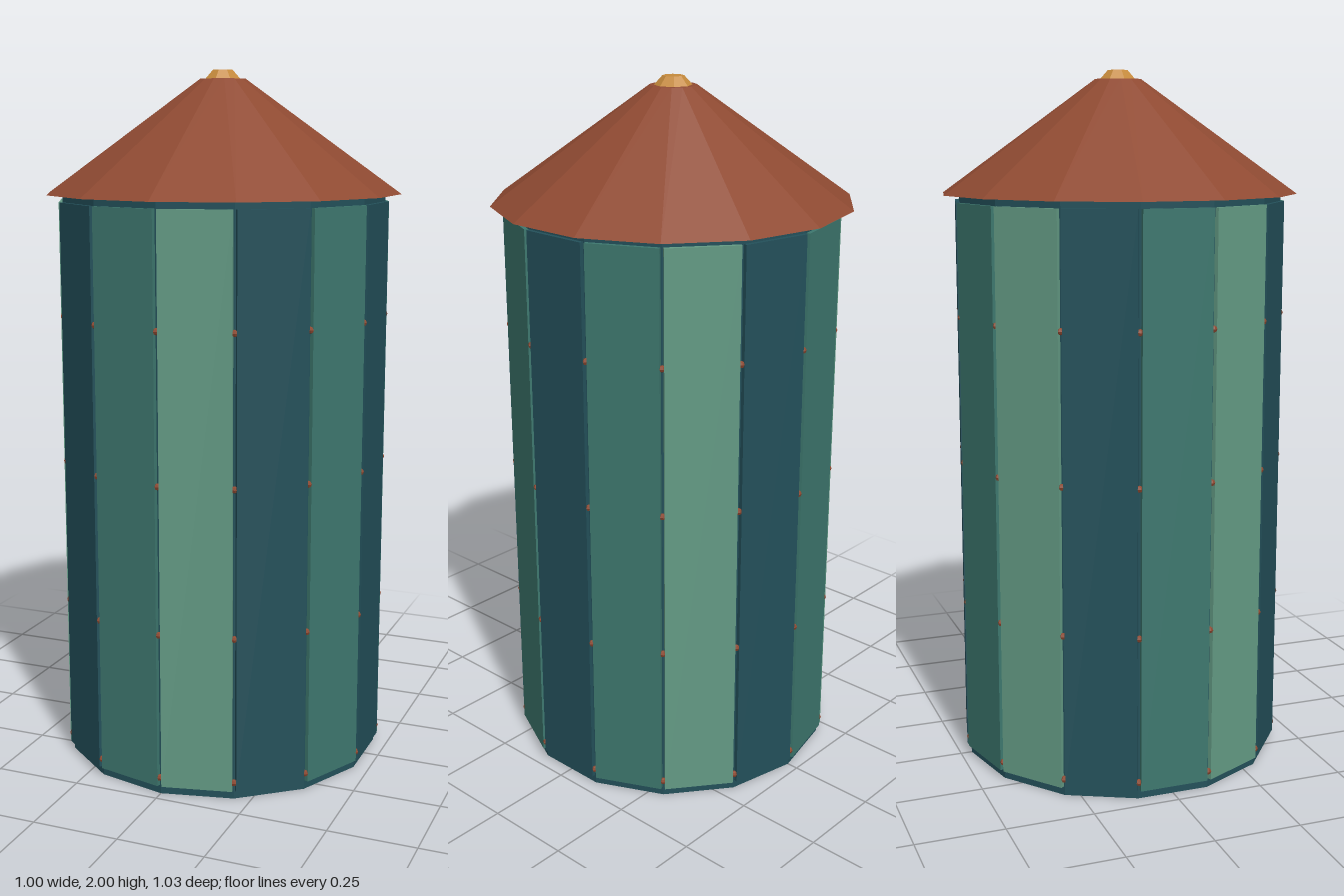
import * as THREE from 'three';

const SIDES = 14;
const STEP = (Math.PI * 2) / SIDES;

function material(name, color) {
  const m = new THREE.MeshStandardMaterial({ color, flatShading: true });
  m.name = name;
  return m;
}

function add(parent, name, geometry, mat, x = 0, y = 0, z = 0) {
  const mesh = new THREE.Mesh(geometry, mat);
  mesh.name = name;
  mesh.position.set(x, y, z);
  parent.add(mesh);
  return mesh;
}

export function createModel() {
  const blue = material('deep blue', 0x23505a);
  const teal = material('teal', 0x3d776e);
  const green = material('pale green', 0x639a84);
  const rust = material('rust brown', 0x8f4a32);
  const gold = material('gold', 0xc58a3c);

  const model = new THREE.Group();
  model.name = 'silo';

  // Inner drum, showing at the foot, the top rim and between the panels
  add(model, 'drum', new THREE.CylinderGeometry(0.467, 0.467, 1.655, SIDES), blue, 0, 0.8275, 0);

  // Wall panels, one per side, in a repeating run of three colours
  const panels = new THREE.Group();
  panels.name = 'wallPanels';
  model.add(panels);
  const panelGeo = new THREE.BoxGeometry(0.201, 1.61, 0.022);
  const run = [blue, teal, green];
  for (let i = 0; i < SIDES; i++) {
    const a = (3 + i + 0.5) * STEP;
    const r = 0.456;
    const panel = add(panels, 'wallPanel', panelGeo, run[i % 3], Math.sin(a) * r, 0.83, Math.cos(a) * r);
    panel.rotation.y = a;
  }

  // Rivets up each seam
  const rivets = new THREE.Group();
  rivets.name = 'rivets';
  model.add(rivets);
  const rivetGeo = new THREE.SphereGeometry(0.01, 6, 4);
  for (let i = 0; i < SIDES; i++) {
    const a = i * STEP;
    for (let row = 0; row < 4; row++) {
      add(rivets, 'rivet', rivetGeo, rust, Math.sin(a) * 0.471, 0.05 + row * 0.4215, Math.cos(a) * 0.471);
    }
  }

  // Faceted roof with a flat tip, and its cap
  add(model, 'roof', new THREE.CylinderGeometry(0.066, 0.513, 0.32, SIDES), rust, 0, 1.815, 0);
  add(model, 'roofCap', new THREE.CylinderGeometry(0.03, 0.055, 0.027, 8), gold, 0, 1.9865, 0);

  return model;
}
